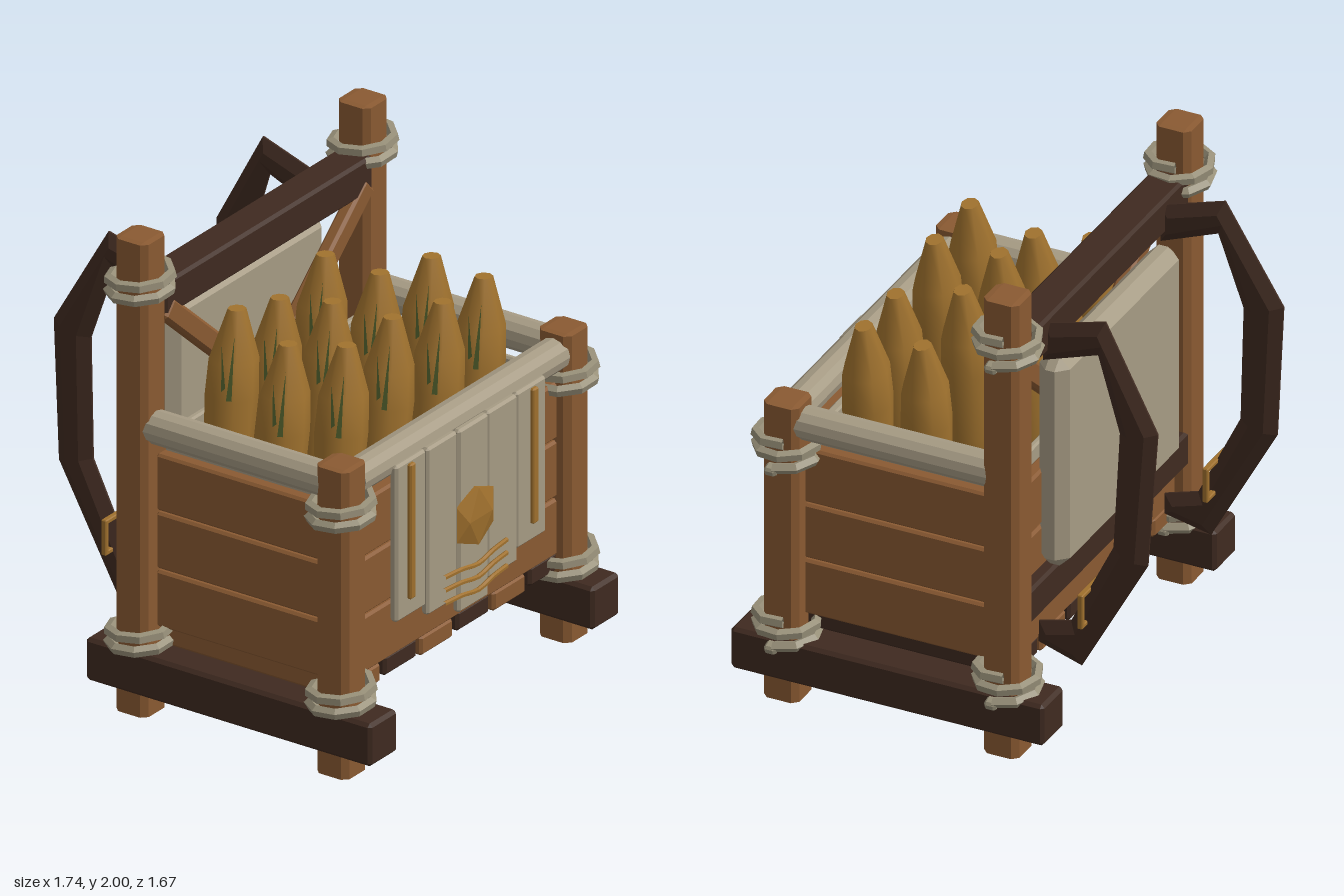
import * as THREE from 'three';
import { ConvexGeometry } from 'three/addons/geometries/ConvexGeometry.js';

const mat = (color, side = THREE.FrontSide, flatShading = true) =>
  new THREE.MeshStandardMaterial({ color, flatShading, side });

// Box with every edge chamfered by c (its top and bottom rims by e)
function block(w, h, d, c, e = c) {
  const pts = [];
  for (const x of [-w / 2, w / 2]) for (const y of [-h / 2, h / 2]) for (const z of [-d / 2, d / 2]) {
    const sx = Math.sign(x) * c, sy = Math.sign(y) * e, sz = Math.sign(z) * c;
    pts.push(new THREE.Vector3(x, y - sy, z - sz), new THREE.Vector3(x - sx, y, z - sz),
      new THREE.Vector3(x - sx, y - sy, z));
  }
  return new ConvexGeometry(pts);
}

// Rope wound twice round a post
class Coil extends THREE.Curve {
  getPoint(t, target = new THREE.Vector3()) {
    const a = t * Math.PI * 4.1;
    return target.set(0.12 * Math.cos(a), 0.053 * a / (2 * Math.PI), -0.12 * Math.sin(a));
  }
}

export function createModel() {
  const root = new THREE.Group();
  const wood = mat(0x8a5a32), dark = mat(0x3f2a20), cloth = mat(0xa69b84);
  const rope = mat(0x989079, THREE.DoubleSide), gold = mat(0x9f702d);
  const produce = mat(0xa0722e, THREE.FrontSide, false), leaf = mat(0x4a5829, THREE.DoubleSide);

  const add = (name, geo, material, x = 0, y = 0, z = 0, parent = root) => {
    const m = new THREE.Mesh(geo, material);
    m.name = name;
    m.position.set(x, y, z);
    parent.add(m);
    return m;
  };

  // Corner posts, runners and rope lashings
  const coil = new THREE.TubeGeometry(new Coil(), 18, 0.023, 5);
  for (const s of [-1, 1]) {
    const x = s * 0.73;
    add('backPost', block(0.15, 2, 0.15, 0.024, 0.004), wood, x, 1, -0.295);
    add('frontPost', block(0.15, 1.3, 0.15, 0.024, 0.004), wood, x, 0.65, 0.64);
    add('runner', block(0.18, 0.18, 1.33, 0.014), dark, x, 0.19, 0.175);
    for (const [y, z] of [[1.745, -0.295], [0.265, -0.295], [1.05, 0.64], [0.265, 0.64]]) {
      add('ropeLashing', coil, rope, x, y, z);
      add('ropeTail', block(0.05, 0.04, 0.05, 0.01), rope, x + 0.115, y - 0.01, z + 0.01).rotation.z = -0.3;
    }
  }

  // Crate walls: three planks a side, with a cloth lining inside
  for (let i = 0; i < 3; i++) {
    const y = 0.485 + i * 0.245;
    for (const s of [-1, 1]) add('sidePlank', block(0.06, 0.238, 0.8, 0.01), wood, s * 0.7, y, 0.175);
    add('frontPlank', block(1.34, 0.238, 0.06, 0.01), wood, 0, y, 0.63);
    add('backPlank', block(1.34, 0.238, 0.06, 0.01), wood, 0, y, -0.28);
  }
  for (const s of [-1, 1]) add('sideLining', block(0.03, 0.77, 0.8, 0.008), cloth, s * 0.65, 0.765, 0.175);
  add('frontLining', block(1.27, 0.77, 0.04, 0.008), cloth, 0, 0.765, 0.56);
  add('backLining', block(1.27, 0.77, 0.03, 0.008), cloth, 0, 0.765, -0.235);

  // Floor slats, alternating in colour and slightly uneven
  for (let i = 0; i < 6; i++) {
    add('floorSlat', block(0.212, 0.085, 0.96, 0.012), i % 2 ? dark : wood,
      -0.595 + i * 0.238, i % 2 ? 0.335 : 0.325, 0.175);
  }

  // Rolled cloth round the rim
  const roll = (len) => new THREE.CylinderGeometry(0.068, 0.068, len, 12);
  for (const s of [-1, 1]) add('sideRoll', roll(0.86), cloth, s * 0.73, 1.21, 0.175).rotation.x = Math.PI / 2;
  add('frontRoll', roll(1.34), cloth, 0, 1.21, 0.645).rotation.z = Math.PI / 2;

  // Back frame: rails and diagonal braces
  add('topRail', block(1.36, 0.15, 0.15, 0.012), dark, 0, 1.725, -0.285);
  add('lowerRail', block(1.36, 0.15, 0.13, 0.012), dark, 0, 0.6, -0.295);
  for (const s of [-1, 1]) {
    const brace = add('brace', block(0.76, 0.09, 0.06, 0.012), wood, s * 0.375, 1.435, -0.235);
    brace.rotation.z = s * 0.72;
  }

  // Back pad
  add('backPad', block(1.01, 0.92, 0.13, 0.045), cloth, 0, 1.145, -0.36);

  // Shoulder straps: bent outline with a ridged edge, leaning outward
  const outline = [[0.33, 1.76], [0.6, 1.84], [0.835, 1.42], [0.8, 0.84], [0.52, 0.33], [0.33, 0.38],
    [0.33, 0.47], [0.47, 0.51], [0.65, 0.88], [0.67, 1.38], [0.57, 1.69], [0.33, 1.6]];
  const strapShape = new THREE.Shape(outline.map(([u, v]) => new THREE.Vector2(u, v)));
  for (const s of [-1, 1]) {
    const geo = new THREE.ExtrudeGeometry(strapShape, {
      depth: 0.008, bevelSegments: 1, bevelSize: 0.045, bevelOffset: -0.045, bevelThickness: 0.03,
    });
    geo.translate(0, 0, -0.004).rotateY(Math.PI / 2);
    const p = geo.attributes.position;
    for (let i = 0; i < p.count; i++) {
      p.setX(i, p.getX(i) + s * (0.515 - (p.getZ(i) + 0.37) * 0.06 - (p.getY(i) - 1.1) * 0.03));
    }
    geo.computeVertexNormals();
    add('shoulderStrap', geo, dark);

    // Strap buckle
    const buckle = new THREE.Group();
    buckle.name = 'strapBuckle';
    buckle.position.set(s * 0.53, 0.605, -0.545);
    root.add(buckle);
    for (const t of [-1, 1]) {
      add('buckleBar', block(0.18, 0.02, 0.024, 0.004), gold, 0, t * 0.065, 0, buckle);
      add('buckleSide', block(0.02, 0.15, 0.024, 0.004), gold, t * 0.08, 0, 0, buckle);
    }
  }

  // Stepped cloth apron on the front, longest in the middle
  for (let i = -2; i <= 2; i++) {
    const bottom = [0.44, 0.505, 0.55][Math.abs(i)];
    add('apronStrip', block(0.196, 1.21 - bottom, 0.035, 0.01), cloth,
      i * 0.197, (1.21 + bottom) / 2, 0.724 - Math.abs(i) * 0.006);
  }
  for (const s of [-1, 1]) add('apronTrim', block(0.036, 0.57, 0.025, 0.006), gold, s * 0.403, 0.91, 0.733);

  // Faceted boss and three sagging wires
  const boss = add('apronBoss', new THREE.IcosahedronGeometry(0.141, 0).rotateZ(Math.PI / 2), gold, 0, 0.82, 0.745);
  boss.scale.z = 0.25;
  for (let i = 0; i < 3; i++) {
    const y = 0.635 - i * 0.055;
    const curve = new THREE.CatmullRomCurve3([[-0.205, y, 0.747], [-0.1, y - 0.003, 0.755], [0, y - 0.018, 0.759],
      [0.1, y - 0.003, 0.755], [0.205, y, 0.747]].map((v) => new THREE.Vector3(...v)));
    add('apronWire', new THREE.TubeGeometry(curve, 12, 0.01, 6), gold);
  }

  // Vegetables standing in the crate, each with a few leaf blades
  const profile = [[0, -0.85], [0.06, -0.84], [0.1, -0.65], [0.116, -0.35], [0.108, -0.2], [0.04, 0], [0.04, 0], [0, 0]];
  const vegGeo = new THREE.LatheGeometry(profile.map(([r, y]) => new THREE.Vector2(r, y)), 8);
  const bladeGeo = new THREE.ConeGeometry(0.014, 0.26, 3);
  const rows = [[-0.09, [-0.43, -0.15, 0.15]], [0.17, [-0.46, -0.17, 0.14, 0.48]], [0.435, [-0.45, -0.15, 0.18, 0.45]]];
  rows.forEach(([z, xs], r) => xs.forEach((x, i) => {
    const veg = new THREE.Group();
    veg.name = 'vegetable';
    veg.position.set(x + 0.045, (r + i) % 3 === 1 || x > 0.4 ? 1.545 : 1.61, z);
    veg.rotation.z = -0.1;
    veg.scale.z = 0.84;
    root.add(veg);
    add('vegetableBody', vegGeo, produce, 0, 0, 0, veg);
    for (let k = 0; k < 2; k++) {
      const blade = add('leafBlade', bladeGeo, leaf, -0.105 + k * 0.02, -0.24 + k * 0.03, 0.03 + k * 0.03, veg);
      blade.rotation.z = 0.16 - k * 0.2;
    }
  }));

  return root;
}
